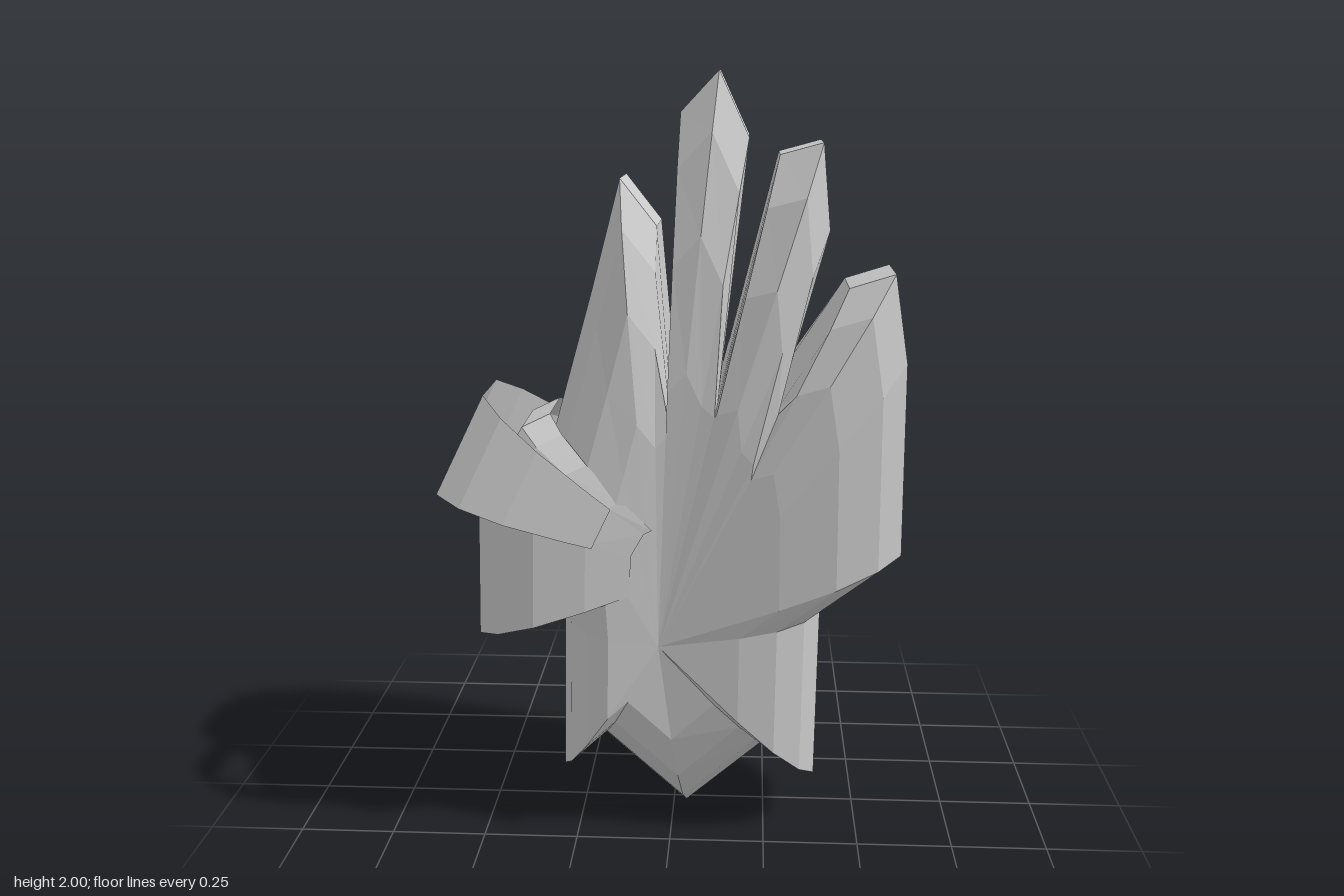
import * as THREE from 'three';

// Half section from the front pole over the rim to the back pole: [radius fraction, depth]
const HALF = [[0, 0.295], [0.5, 0.285], [0.73, 0.245], [0.9, 0.18], [1, 0.1]];
const PROFILE = [...HALF, ...HALF.map(([f, d]) => [f, -d]).reverse()];

// The whole body is folded forward at both sides, a little more on the right, and leans with height
const bend = (x, y) =>
  0.32 * (Math.hypot(x, 0.1) - 0.1) + 0.08 * Math.max(0, -x) + 0.04 * y - 0.08;

// Sweeps the section through each outline point [x, y, steepness]; steeper points make valleys.
function fan(name, outline, pole, { closed = false, start = 0 } = {}) {
  const rows = PROFILE.length, pos = [], index = [];
  for (const [x, y, steep = 1] of outline) {
    for (const [f, d] of PROFILE) {
      const k = Math.min(1, Math.max(start, f) * steep);
      const px = pole[0] + (x - pole[0]) * k;
      const py = pole[1] + (y - pole[1]) * k;
      pos.push(px, py, bend(px, py) + d);
    }
  }
  const n = outline.length;
  for (let i = 0; i < (closed ? n : n - 1); i++) {
    const a = i * rows, b = ((i + 1) % n) * rows;
    for (let j = 0; j < rows - 1; j++) {
      index.push(a + j, a + j + 1, b + j + 1, a + j, b + j + 1, b + j);
    }
  }
  let geo = new THREE.BufferGeometry();
  geo.setAttribute('position', new THREE.Float32BufferAttribute(pos, 3));
  geo.setIndex(index);
  geo = geo.toNonIndexed();
  geo.computeVertexNormals();
  const mesh = new THREE.Mesh(geo, new THREE.MeshStandardMaterial({
    color: 0xcccccc, flatShading: true, side: THREE.DoubleSide,
  }));
  mesh.name = name;
  return mesh;
}

export function createModel() {
  const model = new THREE.Group();
  model.name = 'lobedShell';

  // Main body: lobes and valleys, counterclockwise from the bottom tip
  model.add(fan('lobedBody', [
    [0.035, 0.003], [0.26, 0.23],                             // bottom lobe
    [0.385, 0.145], [0.39, 0.62],                             // lower left lobe
    [0.59, 0.80], [0.585, 1.3], [0.55, 1.52], [0.44, 1.48],   // large side lobe
    [0.27, 1.18, 1.6],
    [0.39, 1.62], [0.37, 1.83], [0.265, 1.80],                // slim upper lobe
    [0.12, 1.2, 1.9],
    [0.19, 1.84], [0.115, 2.0], [0.02, 1.90],                 // tallest lobe
    [0.003, 1.12, 2],
    [-0.04, 1.62], [-0.13, 1.74], [-0.2, 1.47], [-0.31, 1.07], // broad right lobe
    [-0.285, 0.6], [-0.295, 0.155], [-0.19, 0.24],
  ], [-0.03, 0.55], { closed: true }));

  // Open curled bands on the right side; the lower one passes behind the upper one
  const bandPole = [0.07, 0.75];
  model.add(fan('upperBand', [[-0.47, 1.21], [-0.59, 0.96]], bandPole, { start: 0.4 }));
  model.add(fan('lowerBand', [[-0.31, 1.15], [-0.38, 1.12], [-0.49, 0.93], [-0.5, 0.57]], bandPole,
    { start: 0.3 }));
  return model;
}
